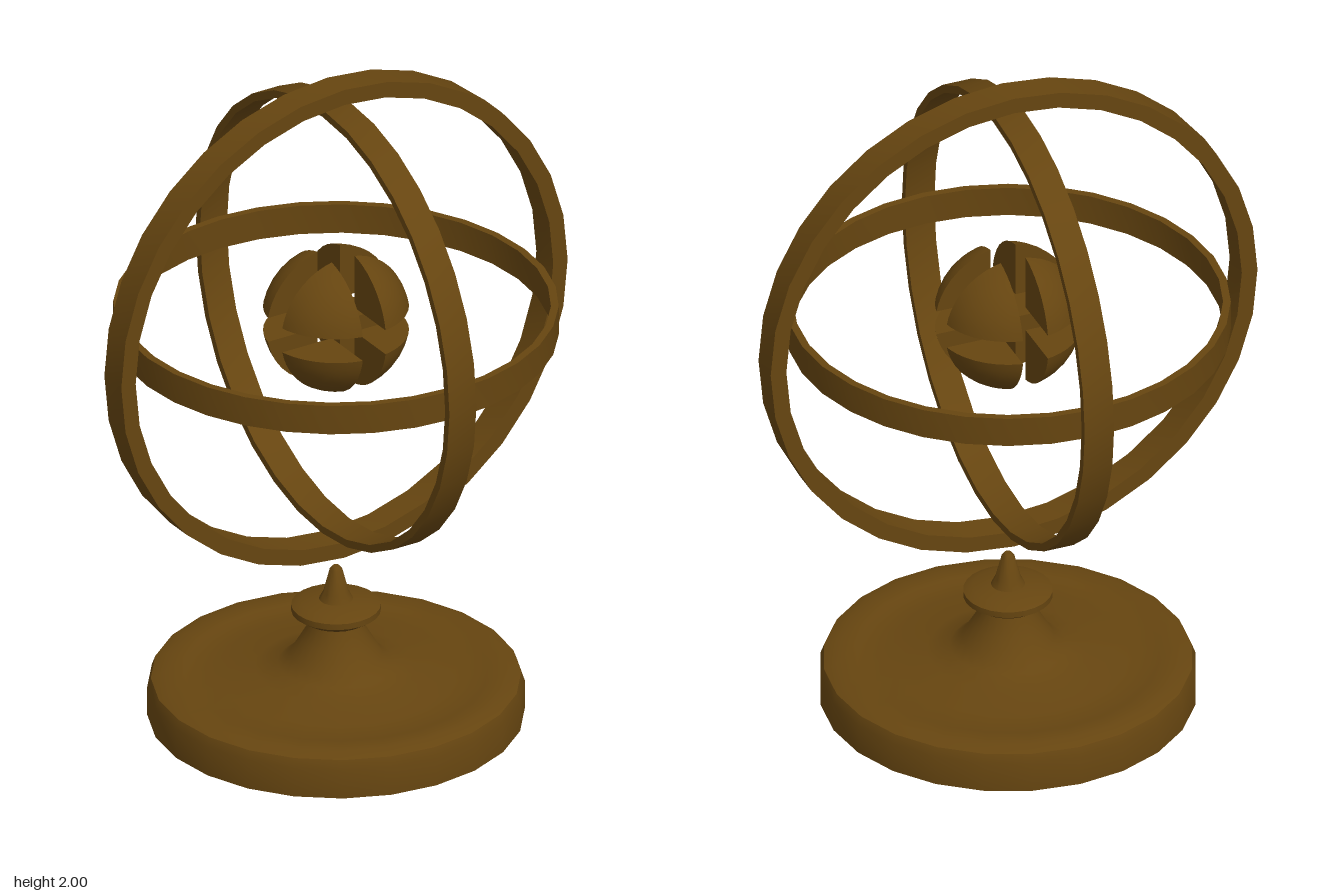
import * as THREE from 'three';
import { toCreasedNormals } from 'three/addons/utils/BufferGeometryUtils.js';
import { ConvexGeometry } from 'three/addons/geometries/ConvexGeometry.js';

const CENTRE_Y = 1.255;

export function createModel() {
  const model = new THREE.Group();
  model.name = 'armillarySphere';
  const bronze = new THREE.MeshStandardMaterial({ color: 0x664510 });

  const add = (name, geometry, parent = model) => {
    const mesh = new THREE.Mesh(geometry, bronze);
    mesh.name = name;
    parent.add(mesh);
    return mesh;
  };
  const lathe = (points, segments, crease) => toCreasedNormals(
    new THREE.LatheGeometry(points.map(([x, y]) => new THREE.Vector2(x, y)), segments), crease);

  // Turned pedestal: dished foot, flared neck, collar and pointed tip
  add('base', lathe([
    [0, 0], [0.534, 0], [0.534, 0.09], [0.524, 0.117], [0.49, 0.13], [0.43, 0.13],
    [0.41, 0.124], [0.34, 0.13], [0.23, 0.145], [0.165, 0.16], [0.13, 0.19], [0.1, 0.24],
    [0.072, 0.29], [0.07, 0.3], [0.095, 0.303], [0.127, 0.325], [0.127, 0.343], [0.1, 0.355],
    [0.048, 0.362], [0.036, 0.385], [0.018, 0.455], [0.01, 0.465], [0, 0.466],
  ], 24, 0.7));

  // Three nested flat bands, one about each axis
  const band = (name, inner, outer) => {
    const h = 0.045;
    const mesh = add(name, lathe(
      [[inner, -h], [outer, -h], [outer, h], [inner, h], [inner, -h]], 32, 0.6));
    mesh.position.y = CENTRE_Y;
    return mesh;
  };
  band('outerRing', 0.697, 0.745).rotation.x = Math.PI / 2;
  band('middleRing', 0.652, 0.675).rotation.z = Math.PI / 2;
  band('horizonRing', 0.608, 0.63);

  // Ball split into eight octants by slots along the coordinate planes
  const core = new THREE.Group();
  core.name = 'splitBall';
  core.position.y = CENTRE_Y;
  model.add(core);
  const R = 0.21, gap = 0.038, steps = 9;
  for (const sx of [-1, 1]) for (const sy of [-1, 1]) for (const sz of [-1, 1]) {
    const sign = new THREE.Vector3(sx, sy, sz);
    const corner = new THREE.Vector3(gap, gap, gap);
    const points = [corner.clone().multiply(sign)];
    for (let i = 0; i <= steps; i++) for (let j = 0; j <= steps - i; j++) {
      // Cast from the inner corner out to the ball's surface
      const d = new THREE.Vector3(i, j, steps - i - j).normalize();
      const b = corner.dot(d);
      const t = -b + Math.sqrt(b * b + R * R - corner.lengthSq());
      points.push(corner.clone().addScaledVector(d, t).multiply(sign));
    }
    add('ballOctant', toCreasedNormals(new ConvexGeometry(points), 0.6), core);
  }

  return model;
}
